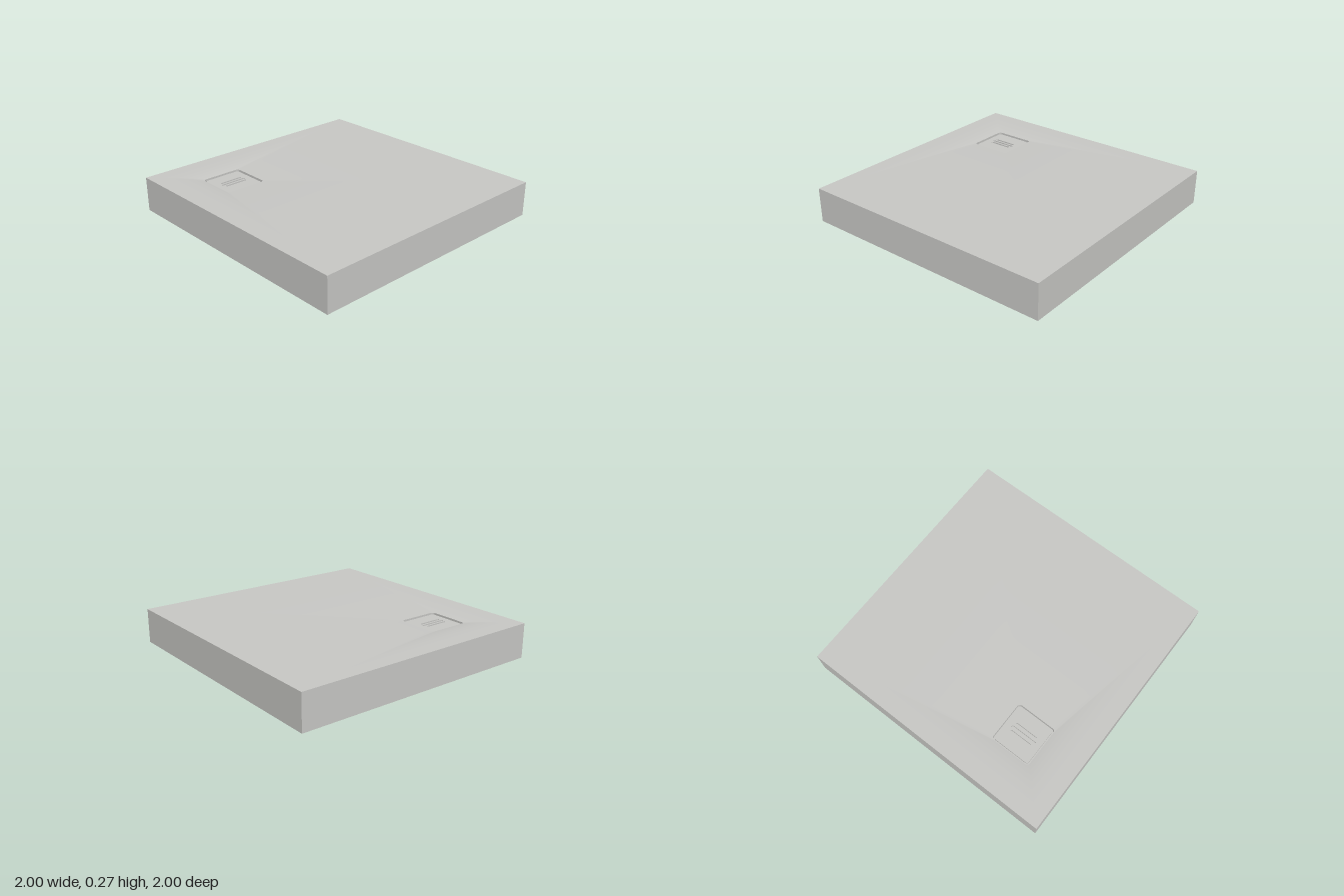
import * as THREE from 'three';

const HEIGHT = 0.267, DRAIN = -0.535, WALL = 0.96;

const grey = new THREE.MeshStandardMaterial({ color: 0xc8c8c5 });
grey.name = 'stone grey';
const beige = new THREE.MeshStandardMaterial({ color: 0xcbc4aa });
beige.name = 'beige backing';
const dark = new THREE.MeshStandardMaterial({ color: 0x1c1c1c });
dark.name = 'drain black';

// Points of a rounded square, counter-clockwise seen from above
function squareLoop(c, half, radius, perSide = 12, perArc = 6) {
  const pts = [];
  for (let k = 0; k < 4; k++) {
    const a = k * Math.PI / 2, cos = Math.cos(a), sin = Math.sin(a), s = half - radius;
    const add = (x, y) => pts.push(new THREE.Vector2(c + x * cos - y * sin, -c + x * sin + y * cos));
    for (let i = 0; i < perSide; i++) add(half, -s + 2 * s * i / perSide);
    for (let i = 0; i < perArc; i++) {
      const t = i / perArc * Math.PI / 2;
      add(s + radius * Math.cos(t), s + radius * Math.sin(t));
    }
  }
  return pts;
}

// Joins closed loops, each { pts, y }, into a smooth surface
function loft(rings) {
  const n = rings[0].pts.length, pos = [], idx = [];
  for (const r of rings) for (const p of r.pts) pos.push(p.x, r.y, -p.y);
  for (let j = 0; j < rings.length - 1; j++) {
    for (let i = 0; i < n; i++) {
      const a = j * n + i, d = j * n + (i + 1) % n;
      idx.push(a, a + n, d + n, a, d + n, d);
    }
  }
  const g = new THREE.BufferGeometry();
  g.setAttribute('position', new THREE.Float32BufferAttribute(pos, 3));
  g.setIndex(idx);
  g.computeVertexNormals();
  return g;
}

// Upright slab with holes between two heights
function slab(outline, holes, y0, y1) {
  const shape = new THREE.Shape(outline);
  shape.holes = holes;
  return new THREE.ExtrudeGeometry(shape, { depth: y1 - y0, bevelEnabled: false, curveSegments: 48 })
    .rotateX(-Math.PI / 2).translate(0, y0, 0);
}

const square = (half) => [[-1, -1], [1, -1], [1, 1], [-1, 1]]
  .map(([x, y]) => new THREE.Vector2(x * half, y * half));
const circle = (r) => new THREE.Path().absarc(DRAIN, -DRAIN, r, 0, Math.PI * 2, true);

function slot(z, halfLength, r) {
  const p = new THREE.Path();
  p.absarc(DRAIN + halfLength - r, -z, r, -Math.PI / 2, Math.PI / 2, false);
  p.absarc(DRAIN - halfLength + r, -z, r, Math.PI / 2, Math.PI * 1.5, false);
  p.closePath();
  return p;
}

export function createModel() {
  const model = new THREE.Group();
  model.name = 'showerTray';
  const add = (name, geometry, material) => {
    const m = new THREE.Mesh(geometry, material);
    m.name = name;
    model.add(m);
    return m;
  };

  // Outer walls with beige lining
  add('outerWalls', slab(square(1), [new THREE.Path(square(WALL))], 0, HEIGHT), grey);
  add('wallLining', slab(square(WALL), [new THREE.Path(square(WALL - 0.005))], 0.001, 0.125), beige);

  // Top surface, falling gently toward the drain
  const rings = [];
  for (let j = 0; j <= 16; j++) {
    const t = (j / 16) ** 1.6, mix = THREE.MathUtils.lerp;
    rings.push({
      pts: squareLoop(mix(DRAIN, 0, t), mix(0.16, WALL, t), mix(0.025, 0, t)),
      y: HEIGHT - 0.015 * (1 - t) ** 3,
    });
  }
  add('standingSurface', loft(rings), grey);

  // Recess for the drain cover
  const rim = squareLoop(DRAIN, 0.16, 0.025);
  add('drainRecessWall', loft([{ pts: rim, y: 0.215 }, { pts: rim, y: rings[0].y }]), grey);
  add('drainRecessFloor', slab(rim, [], 0.205, 0.215), grey);

  // Cover plate with three slots
  const slots = [[-0.567, 0.09], [DRAIN, 0.103], [-0.503, 0.09]].map(([z, l]) => slot(z, l, 0.009));
  add('drainCover', slab(squareLoop(DRAIN, 0.148, 0.018), slots, 0.222, 0.243), grey);

  // Beige backing with the outlet hole
  add('backing', slab(square(WALL), [circle(0.08)], 0.125, 0.2), [beige, dark]);
  const cap = new THREE.CylinderGeometry(0.085, 0.085, 0.005, 32);
  add('outletCap', cap.translate(DRAIN, 0.2015, DRAIN), dark);

  // Underside panel with a round opening for the waste fitting
  add('undersidePanel', slab(square(0.875), [circle(0.328)], 0.002, 0.125), grey);

  return model;
}
